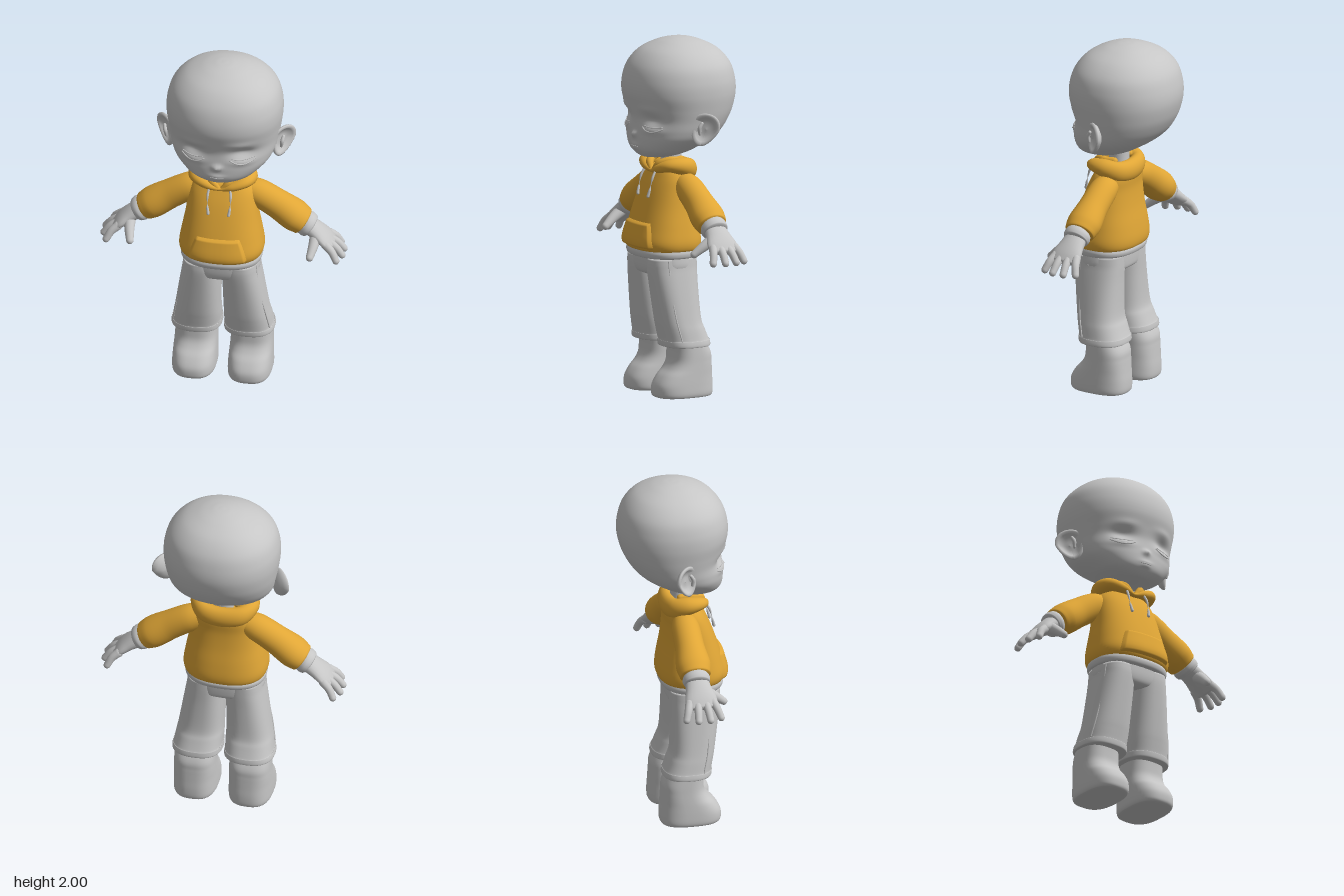
import * as THREE from 'three';

const V = (x, y, z) => new THREE.Vector3(x, y, z);

// Skin over closed rings; point(i, angle) gives each vertex
function skin(rows, cols, point) {
  const pos = [], idx = [];
  for (let i = 0; i < rows; i++)
    for (let j = 0; j < cols; j++) pos.push(...point(i, (j / cols) * Math.PI * 2).toArray());
  for (let i = 0; i < rows - 1; i++)
    for (let j = 0; j < cols; j++) {
      const k = (j + 1) % cols, a = i * cols + j, b = i * cols + k;
      idx.push(a, a + cols, b, b, a + cols, b + cols);
    }
  const g = new THREE.BufferGeometry();
  g.setAttribute('position', new THREE.Float32BufferAttribute(pos, 3));
  g.setIndex(idx);
  g.computeVertexNormals();
  return g;
}

// Upright loft through rings [y, half width, front z, back z], squareness n
function loft(rings, { n = 2.2, cx = () => 0, cols = 48, steps = 5 } = {}) {
  const ends = r => [r[0], 0.0005, (r[2] + r[3]) / 2, (r[2] + r[3]) / 2];
  const a = new THREE.CatmullRomCurve3(rings.map(r => V(r[0], r[1], 0)), false, 'catmullrom');
  const b = new THREE.CatmullRomCurve3(rings.map(r => V(r[2], r[3], 0)), false, 'catmullrom');
  const count = (rings.length - 1) * steps, list = [ends(rings[0])];
  for (let i = 0; i <= count; i++) {
    const p = a.getPoint(i / count), q = b.getPoint(i / count);
    list.push([p.x, Math.max(p.y, 0.0005), q.x, q.y]);
  }
  list.push(ends(rings[rings.length - 1]));
  const pw = v => Math.sign(v) * Math.abs(v) ** (2 / n);
  return skin(list.length, cols, (i, t) => {
    const [y, rx, zf, zb] = list[i];
    return V(cx(y) + rx * pw(Math.cos(t)), y, (zf + zb) / 2 + ((zf - zb) / 2) * pw(Math.sin(t)));
  });
}

// Limb along points [x, y, z, radius along ref, other radius] with rounded ends
function limb(pts, { ref = V(0, 0, 1), round = 1, cols = 20, steps = 20, closed = false } = {}) {
  const path = new THREE.CatmullRomCurve3(pts.map(p => V(p[0], p[1], p[2])), closed);
  const size = new THREE.CatmullRomCurve3(pts.map(p => V(p[3], p[4] ?? p[3], 0)), closed);
  const list = [], caps = closed ? 0 : 5;
  for (let i = -caps; i <= steps + caps; i++) {
    const t = Math.min(Math.max(i / steps, 0), 1);
    const over = i < 0 ? i : Math.max(i - steps, 0);
    const phi = caps ? (over / caps) * Math.PI / 2 : 0;
    const s = size.getPoint(t), T = path.getTangent(t), k = Math.max(Math.cos(phi), 0.001);
    const A = ref.clone().addScaledVector(T, -ref.dot(T)).normalize();
    const C = A.clone().cross(T);
    const P = path.getPoint(t).addScaledVector(T, Math.sin(phi) * Math.min(s.x, s.y) * round);
    list.push({ P, A: A.multiplyScalar(s.x * k), C: C.multiplyScalar(s.y * k) });
  }
  return skin(list.length, cols, (i, t) => list[i].P.clone()
    .addScaledVector(list[i].A, Math.cos(t)).addScaledVector(list[i].C, Math.sin(t)));
}

function mirrored(geo) {
  const g = geo.clone().scale(-1, 1, 1), ix = g.index.array;
  for (let i = 0; i < ix.length; i += 3) [ix[i], ix[i + 1]] = [ix[i + 1], ix[i]];
  g.computeVertexNormals();
  return g;
}

export function createModel() {
  const model = new THREE.Group();
  const grey = new THREE.MeshStandardMaterial({ name: 'plain grey', color: 0xc6c6c6 });
  const gold = new THREE.MeshStandardMaterial({ name: 'hoodie gold', color: 0xe0a636, side: THREE.DoubleSide });
  const add = (name, geo, mat) => {
    const m = new THREE.Mesh(geo, mat);
    m.name = name;
    model.add(m);
    return m;
  };
  const pair = (name, geo, mat) => {
    add(name + 'Left', geo, mat);
    add(name + 'Right', mirrored(geo), mat);
  };
  const ray = new THREE.Raycaster();
  const frontZ = (mesh, x, y) => {
    ray.set(V(x, y, 2), V(0, 0, -1));
    return ray.intersectObject(mesh)[0]?.point.z ?? 0;
  };

  // Head, with sockets, closed lids, nose and lips pressed into the face
  const headGeo = loft([
    [1.335, 0.03, 0.2, 0.11], [1.345, 0.1, 0.235, 0.04], [1.37, 0.17, 0.262, -0.03],
    [1.4, 0.215, 0.277, -0.09], [1.45, 0.268, 0.28, -0.17], [1.5, 0.293, 0.277, -0.225],
    [1.56, 0.306, 0.274, -0.265], [1.62, 0.316, 0.287, -0.291], [1.7, 0.325, 0.307, -0.308],
    [1.78, 0.32, 0.302, -0.302], [1.86, 0.292, 0.272, -0.275], [1.93, 0.225, 0.21, -0.215],
    [1.975, 0.135, 0.125, -0.13], [1.995, 0.06, 0.055, -0.06], [2.0, 0.01, 0.01, -0.01],
  ], { cols: 128, steps: 8, n: 2.15 });
  const bumps = [[0.14, 1.565, 0.065, 0.03, -0.022], [0.145, 1.505, 0.06, 0.022, 0.01],
    [0, 1.472, 0.022, 0.018, 0.02], [0, 1.413, 0.04, 0.012, 0.007],
    [0, 1.393, 0.03, 0.01, 0.006], [0.13, 1.625, 0.07, 0.02, 0.006]];
  const hp = headGeo.attributes.position;
  for (let i = 0; i < hp.count; i++) {
    const x = Math.abs(hp.getX(i)), y = hp.getY(i), z = hp.getZ(i);
    if (z < 0.05) continue;
    let d = 0;
    for (const [bx, by, sx, sy, h] of bumps)
      d += h * Math.exp(-(((x - bx) / sx) ** 2) - ((y - by) / sy) ** 2);
    hp.setZ(i, z + d);
  }
  headGeo.computeVertexNormals();
  const head = add('head', headGeo, grey);

  // Lash lines and mouth follow the face
  const onFace = (xs, yOf, r) => limb(xs.map(x => [x, yOf(x), frontZ(head, x, yOf(x)), r]),
    { ref: V(0, 1, 0), cols: 8, steps: 16 });
  pair('lashes', onFace([0.075, 0.105, 0.14, 0.175, 0.205], x => 1.498 + 5 * (x - 0.14) ** 2, 0.004), grey);
  pair('lidCrease', onFace([0.085, 0.11, 0.14, 0.17, 0.2], x => 1.524 + 2 * (x - 0.14) ** 2, 0.003), grey);
  add('mouth', onFace([-0.035, 0, 0.035], () => 1.404, 0.003), grey);

  // Ears: dished lathe, tapered to the lobe and turned forwards
  const ear = new THREE.LatheGeometry([[0.001, -0.028], [0.035, -0.026], [0.065, -0.012], [0.08, 0.006],
    [0.08, 0.016], [0.07, 0.02], [0.06, 0.012], [0.045, -0.002], [0.025, -0.006], [0.001, -0.002],
  ].map(p => new THREE.Vector2(...p)), 32);
  ear.rotateX(Math.PI / 2);
  const ep = ear.attributes.position;
  for (let i = 0; i < ep.count; i++) {
    const y = ep.getY(i);
    ep.setXY(i, ep.getX(i) * (1 + y * 3) - Math.max(0, -y) * 0.35, y * 1.15);
  }
  ear.computeVertexNormals();
  ear.rotateY(0.85).translate(0.326, 1.522, 0.005);
  pair('ear', ear, grey);
  pair('earFold', limb([[0.335, 1.56, 0.035, 0.009], [0.33, 1.535, 0.048, 0.011], [0.325, 1.5, 0.045, 0.008]]), grey);
  add('neck', loft([[1.2, 0.075, 0.12, -0.03], [1.28, 0.058, 0.105, -0.01], [1.4, 0.055, 0.1, -0.01]]), grey);

  // Hoodie body and its ribbed hem
  const body = add('hoodieBody', loft([
    [0.815, 0.205, 0.255, -0.06], [0.825, 0.228, 0.28, -0.083], [0.87, 0.238, 0.292, -0.09],
    [0.95, 0.226, 0.272, -0.08], [1.05, 0.207, 0.24, -0.062], [1.15, 0.192, 0.203, -0.052],
    [1.22, 0.178, 0.17, -0.055], [1.27, 0.14, 0.14, -0.05], [1.29, 0.08, 0.1, -0.01],
  ], { n: 2.4, cols: 64 }), gold);
  add('hoodieHem', loft([[0.78, 0.2, 0.25, -0.05], [0.783, 0.222, 0.272, -0.07], [0.805, 0.229, 0.28, -0.077],
    [0.825, 0.225, 0.275, -0.07]], { n: 2.4 }), grey);

  // Front pocket: raised trapezoid fitted to the body
  const pocket = new THREE.PlaneGeometry(2, 1, 32, 16);
  const pp = pocket.attributes.position;
  for (let i = 0; i < pp.count; i++) {
    const u = pp.getX(i), v = pp.getY(i) + 0.5, y = 0.835 + 0.145 * v;
    const x = u * (0.167 - 0.045 * v ** 1.5);
    const edge = Math.abs(u) > 0.99 || v < 0.01 || v > 0.99;
    pp.setXYZ(i, x, y, frontZ(body, x, y) + (edge ? -0.003 : 0.016));
  }
  pocket.computeVertexNormals();
  add('frontPocket', pocket, gold);

  // Hood: thick roll around the neck, deeper behind, with an inner fold
  const half = [[0.07, 1.275, 0.162, 0.025, 0.03], [0.13, 1.295, 0.125, 0.036, 0.045],
    [0.142, 1.29, 0.06, 0.05, 0.052], [0.11, 1.268, -0.005, 0.058, 0.045]];
  const flip = p => [-p[0], ...p.slice(1)];
  const ring = [[0, 1.256, 0.165, 0.012, 0.016], ...half, [0, 1.255, -0.026, 0.062, 0.046],
    ...half.map(flip).reverse()];
  add('hood', limb(ring, { ref: V(0, 1, 0), closed: true, steps: 80, cols: 24 }), gold);
  pair('hoodFold', limb([[0.015, 1.262, 0.165, 0.014], [0.055, 1.3, 0.15, 0.022],
    [0.09, 1.322, 0.09, 0.02], [0.08, 1.318, 0.03, 0.02]], { ref: V(0, 1, 0) }), gold);
  pair('drawstring', limb([[0.06, 1.262, 0.18, 0.007], [0.065, 1.225, 0.2, 0.007], [0.063, 1.16, 0.217, 0.007],
    [0.058, 1.122, 0.226, 0.009]], { cols: 10 }), grey);

  // Sleeves, cuffs and hands
  pair('sleeve', limb([[0.1, 1.2, 0.04, 0.06], [0.19, 1.17, 0.038, 0.079], [0.3, 1.105, 0.036, 0.083],
    [0.395, 1.04, 0.035, 0.098, 0.088], [0.445, 1.005, 0.035, 0.088, 0.078]], { round: 0.2, cols: 32 }), gold);
  pair('cuff', limb([[0.45, 1.0, 0.035, 0.07], [0.47, 0.988, 0.035, 0.078, 0.072],
    [0.487, 0.976, 0.035, 0.074, 0.067]], { round: 0.18, cols: 28 }), grey);
  pair('palm', limb([[0.46, 0.993, 0.035, 0.06, 0.052], [0.525, 0.95, 0.037, 0.075, 0.042],
    [0.575, 0.91, 0.04, 0.09, 0.033], [0.607, 0.88, 0.042, 0.084, 0.024]], { round: 0.6 }), grey);
  [[-0.028, -0.058, 0.645], [0.017, 0.005, 0.672], [0.062, 0.073, 0.672], [0.104, 0.138, 0.648]]
    .forEach(([z0, z1, x1], i) => pair('finger' + (i + 1), limb([[0.585, 0.9, z0, 0.025],
      [(0.585 + x1) / 2 + 0.005, 0.87, (z0 + z1) / 2, 0.022], [x1, 0.825, z1, 0.02]], { cols: 14 }), grey));
  pair('thumb', limb([[0.525, 0.94, 0.07, 0.035], [0.518, 0.9, 0.13, 0.028], [0.507, 0.86, 0.182, 0.021]],
    { ref: V(1, 0, 0) }), grey);

  // Trousers: hips and two flared legs with turned hems and side seams
  add('trouserHips', loft([[0.675, 0.1, 0.2, 0], [0.69, 0.19, 0.232, -0.03], [0.73, 0.217, 0.246, -0.038],
    [0.8, 0.212, 0.25, -0.04]], { n: 2.5 }), grey);
  const legX = y => 0.148 - 0.037 * Math.min(1, Math.max(0, (y - 0.3) / 0.42));
  pair('trouserLeg', loft([[0.285, 0.13, 0.172, -0.078], [0.288, 0.142, 0.184, -0.09], [0.318, 0.14, 0.188, -0.087],
    [0.322, 0.136, 0.185, -0.082], [0.38, 0.132, 0.196, -0.06], [0.44, 0.126, 0.207, -0.042],
    [0.6, 0.115, 0.23, -0.036], [0.72, 0.106, 0.245, -0.037], [0.78, 0.1, 0.245, -0.037]],
  { n: 2.5, cx: legX }), grey);
  pair('sideSeam', limb([[0.204, 0.77, 0.175, 0.004], [0.22, 0.6, 0.165, 0.004], [0.252, 0.44, 0.15, 0.004],
    [0.272, 0.325, 0.125, 0.004]], { cols: 8 }), grey);
  pair('pocketSeam', limb([[0.165, 0.775, 0.221, 0.004], [0.178, 0.742, 0.211, 0.004],
    [0.205, 0.728, 0.165, 0.004], [0.214, 0.73, 0.115, 0.004]], { cols: 8 }), grey);

  // Boots with rounded toes and flat soles
  pair('boot', loft([[0, 0.108, 0.215, -0.088], [0.004, 0.117, 0.23, -0.1], [0.025, 0.123, 0.238, -0.106],
    [0.07, 0.123, 0.234, -0.106], [0.12, 0.121, 0.203, -0.102], [0.16, 0.119, 0.165, -0.099],
    [0.2, 0.117, 0.143, -0.096], [0.25, 0.115, 0.138, -0.09], [0.33, 0.11, 0.138, -0.05]],
  { n: 2.7, cx: () => 0.157 }), grey);

  return model;
}
